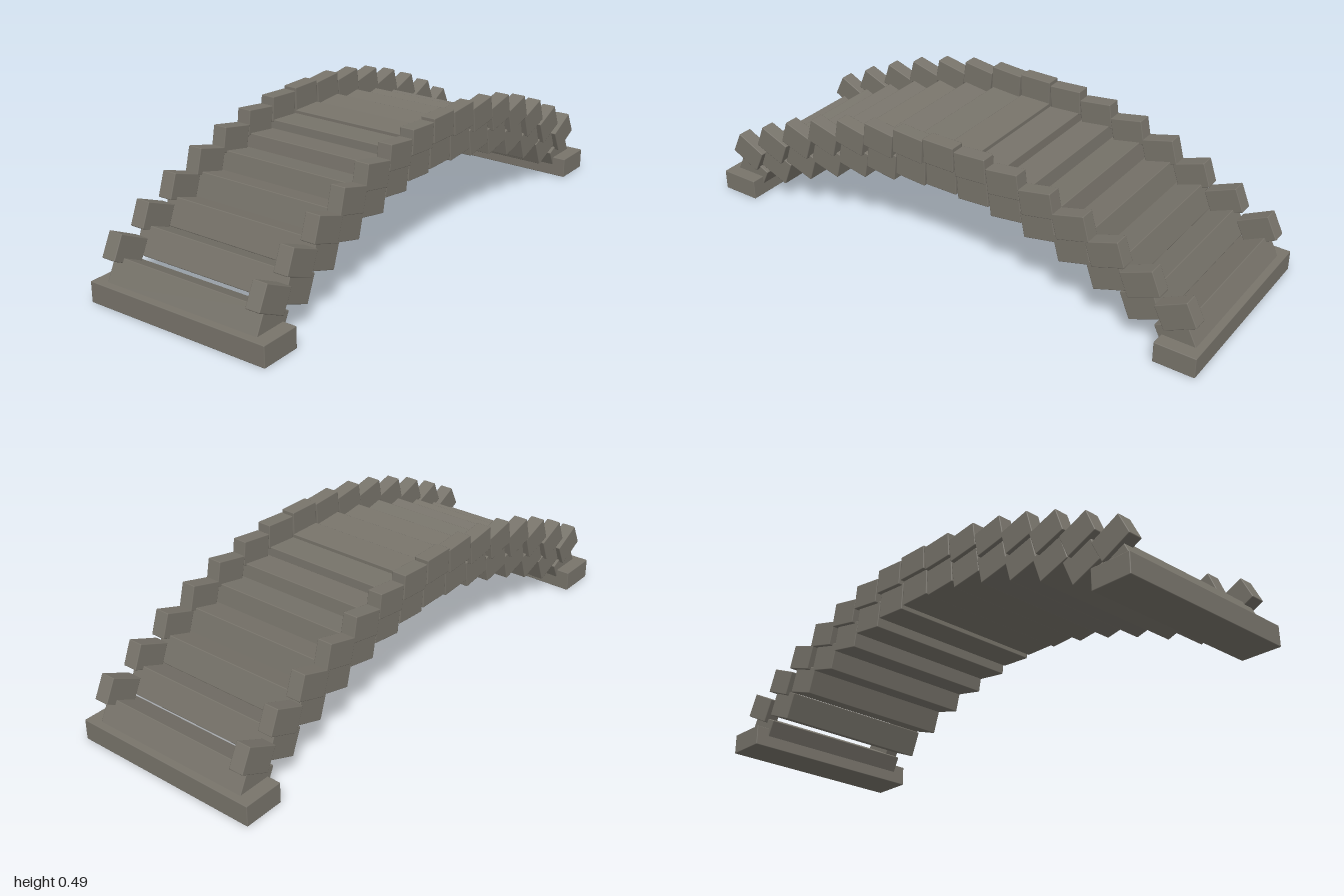
import * as THREE from 'three';
import { RoundedBoxGeometry } from 'three/addons/geometries/RoundedBoxGeometry.js';

export function createModel() {
  const model = new THREE.Group();
  model.name = 'archedStoneBridge';

  const stone = new THREE.MeshStandardMaterial({ color: 0x78746b });
  stone.name = 'stone';

  // Stone blocks with slightly chamfered edges
  const block = (w, h, d) => new RoundedBoxGeometry(w, h, d, 1, 0.003);
  const deckGeo = block(0.616, 0.1, 0.123);
  const curbGeo = block(0.055, 0.09, 0.123);
  const footGeo = block(0.716, 0.075, 0.149);

  const add = (name, geo, x, y, z, tilt = 0) => {
    const mesh = new THREE.Mesh(geo, stone);
    mesh.name = name;
    mesh.position.set(x, y, z);
    mesh.rotation.x = tilt;
    model.add(mesh);
  };

  // Fifteen courses along the arch, each tipped up at its outer end
  const spacing = 0.1287;
  for (let i = -7; i <= 7; i++) {
    const drop = 0.628 * (1 - Math.cos(THREE.MathUtils.degToRad(8 * i)));
    const tilt = -THREE.MathUtils.degToRad(3.75 * i);
    const z = i * spacing;
    add('deckBlock', deckGeo, 0, 0.36 - drop, z, tilt);
    for (const side of [-1, 1]) {
      add(side > 0 ? 'leftCurb' : 'rightCurb', curbGeo, side * 0.2955, 0.448 - drop, z, tilt);
    }
  }

  // Footings at both ends
  add('frontFooting', footGeo, 0, 0.0385, 0.9255);
  add('backFooting', footGeo, 0, 0.0385, -0.9255);

  return model;
}
